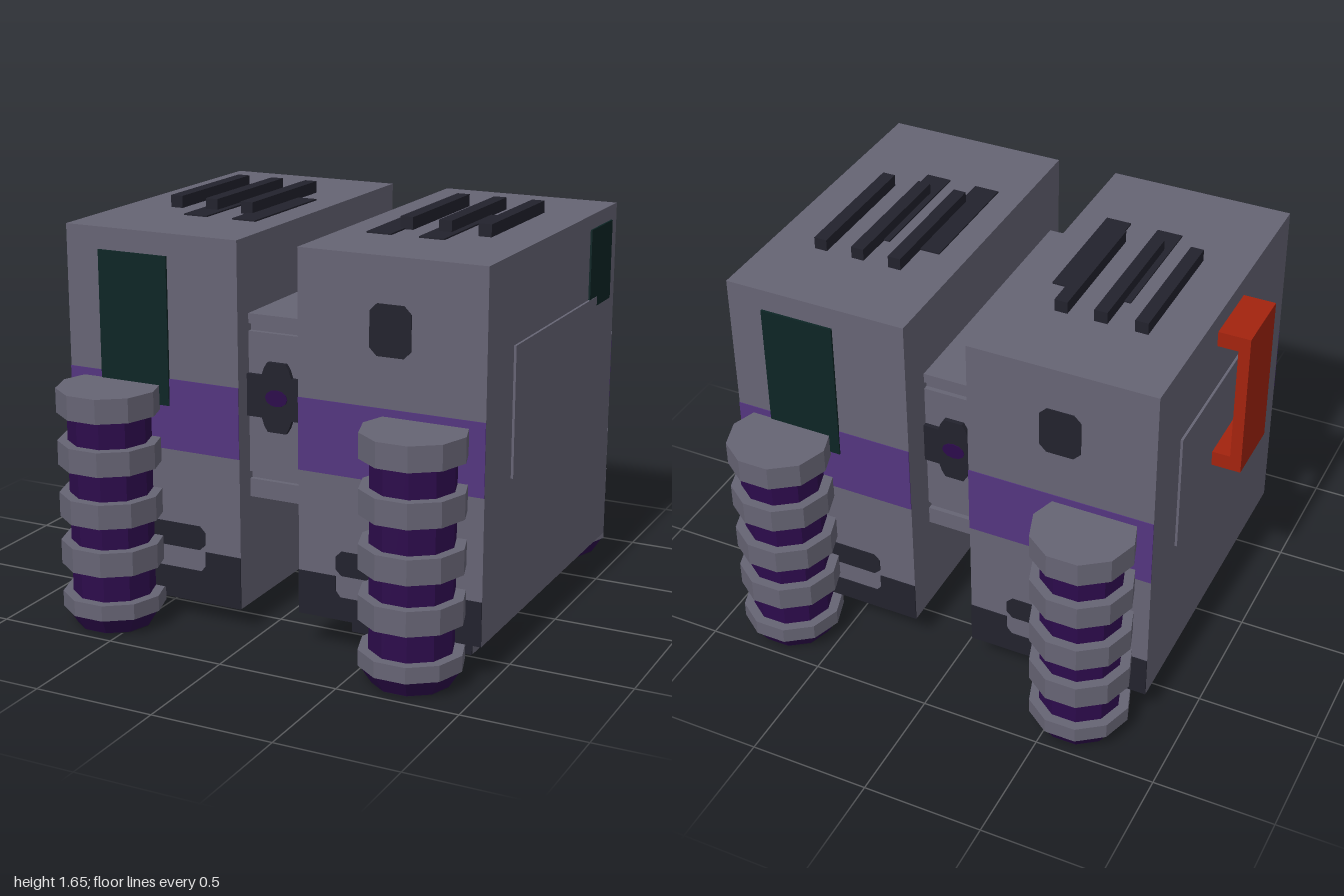
import * as THREE from 'three';

const mat = (name, color, extra = {}) => {
  const m = new THREE.MeshStandardMaterial({ color, ...extra });
  m.name = name;
  return m;
};

export function createModel() {
  const grey = mat('grey metal', 0x666474, { flatShading: true });
  const dark = mat('dark trim', 0x22222d);
  const purple = mat('purple stripe', 0x53357f);
  const deep = mat('deep purple', 0x2c0b4b, { flatShading: true });
  const glass = mat('dark teal glass', 0x0d2525);
  const red = mat('red handle', 0xa3230e);

  const root = new THREE.Group();
  root.name = 'twinBlockMachine';
  const CX = 0.06; // the blocks mirror about this x

  const add = (parent, name, geo, m, x = 0, y = 0, z = 0) => {
    const mesh = new THREE.Mesh(geo, m);
    mesh.name = name;
    mesh.position.set(x, y, z);
    parent.add(mesh);
    return mesh;
  };
  // Box given by its limits
  const box = (parent, name, m, x0, x1, y0, y1, z0, z1) =>
    add(parent, name, new THREE.BoxGeometry(x1 - x0, y1 - y0, z1 - z0), m,
      (x0 + x1) / 2, (y0 + y1) / 2, (z0 + z1) / 2);
  // Thin plate cut from an outline, facing +z
  const plate = (parent, name, m, pts, z, depth = 0.004) =>
    add(parent, name, new THREE.ExtrudeGeometry(
      new THREE.Shape(pts.map(([x, y]) => new THREE.Vector2(x, y))),
      { depth, bevelEnabled: false }), m, 0, 0, z);
  // Rectangle outline with cut corners
  const cut = (x0, x1, y0, y1, c) => [
    [x0 + c, y0], [x1 - c, y0], [x1, y0 + c], [x1, y1 - c],
    [x1 - c, y1], [x0 + c, y1], [x0, y1 - c], [x0, y0 + c]];

  // Ten-sided ribbed column
  const ringY = [[0.89, 0.99], [0.675, 0.775], [0.46, 0.56], [0.26, 0.36]];
  const drum = (parent, name, m, rTop, rBottom, y0, y1) => {
    const mesh = add(parent, name,
      new THREE.CylinderGeometry(rTop, rBottom, y1 - y0, 10), m, 0, (y0 + y1) / 2, 0);
    mesh.rotation.y = Math.PI / 10;
  };
  const column = (x, z) => {
    const g = new THREE.Group();
    g.name = 'ribbedColumn';
    g.position.set(x, 0, z);
    drum(g, 'columnCore', deep, 0.166, 0.166, 0.1, 0.95);
    for (const [y0, y1] of ringY) drum(g, 'columnRing', grey, 0.207, 0.207, y0, y1);
    drum(g, 'bottomRing', grey, 0.207, 0.207, 0.075, 0.14);
    drum(g, 'columnBase', deep, 0.2, 0.155, 0.004, 0.075);
    drum(g, 'columnSole', dark, 0.155, 0.154, 0, 0.004);
    root.add(g);
  };

  // The two main blocks, s = -1 and +1
  for (const s of [-1, 1]) {
    const cx = CX + s * 0.515;
    box(root, 'mainBlock', grey, cx - 0.385, cx + 0.385, 0.14, 1.6, -0.7, 0.7);
    box(root, 'foot', grey, cx - 0.26, cx + 0.26, 0, 0.14, -0.48, 0.48);
    box(root, 'footFront', dark, cx - 0.26, cx + 0.26, 0, 0.139, 0.48, 0.486);
    for (const f of [-1, 1]) column(CX + s * 0.66, f * 0.802);

    // Raised panel on the outer side
    const xo = cx + s * 0.385;
    box(root, 'sidePanel', grey, xo - 0.01, xo + 0.01, 0.73, 1.25, -0.46, 0.44);

    // Roof vents: tall bars and flat strips
    for (const d of [0.355, 0.518, 0.683])
      box(root, 'ventBar', dark, CX + s * d - 0.027, CX + s * d + 0.027, 1.59, 1.65, -0.35, 0.215);
    for (const d of [0.297, 0.518])
      box(root, 'ventStrip', dark, CX + s * d - 0.053, CX + s * d + 0.053, 1.59, 1.606, -0.185, 0.345);
  }

  // Painted details, the same on both faces after a half turn
  for (const face of [0, 1]) {
    const g = new THREE.Group();
    g.name = face ? 'backDetails' : 'frontDetails';
    g.position.x = CX;
    g.rotation.y = face * Math.PI;
    for (const s of [-1, 1]) {
      const cx = s * 0.515;
      box(g, 'stripe', purple, cx - 0.385, cx + 0.385, 0.73, 1.02, 0.699, 0.703);
      // Lower trim with a notch, and the grip above it
      plate(g, 'lowerTrim', dark, [
        [cx - 0.385, 0.141], [cx + 0.385, 0.141], [cx + 0.385, 0.32], [cx + 0.225, 0.32],
        [cx + 0.225, 0.26], [cx + 0.205, 0.235], [cx - 0.205, 0.235], [cx - 0.225, 0.26],
        [cx - 0.225, 0.32], [cx - 0.385, 0.32]], 0.7);
      plate(g, 'grip', dark, cut(cx - 0.225, cx + 0.225, 0.325, 0.425, 0.025), 0.7);
    }
    box(g, 'tallWindow', glass, -0.75, -0.44, 0.91, 1.51, 0.7, 0.709);
    plate(g, 'hatch', dark, cut(0.43, 0.6, 1.22, 1.42, 0.03), 0.7);
    root.add(g);
  }
  box(root, 'sideWindow', glass, 0.96, 0.968, 1.21, 1.54, -0.63, -0.38);

  // Connector between the blocks, with shallow grooves
  box(root, 'connectorCore', grey, -0.08, 0.2, 0.56, 1.29, -0.535, 0.595);
  for (const [y0, y1] of [[0.555, 0.63], [0.66, 1.23], [1.26, 1.3]])
    box(root, 'connectorBand', grey, -0.08, 0.2, y0, y1, -0.555, 0.615);

  // Cross-shaped latch on each end of the connector
  const quarter = [[0.13, 0.085], [0.065, 0.085], [0.055, 0.115], [0.04, 0.14]];
  const mirror = (pts, sx, sy) => pts.map(([x, y]) => [x * sx, y * sy]);
  const cross = [
    ...quarter, ...mirror(quarter, -1, 1).reverse(),
    ...mirror(quarter, -1, -1), ...mirror(quarter, 1, -1).reverse()];
  for (const f of [1, -1]) {
    const g = new THREE.Group();
    g.name = 'latch';
    g.position.set(CX, 0.978, 0.03 + f * 0.585);
    g.rotation.y = f > 0 ? 0 : Math.PI;
    plate(g, 'latchPlate', dark, cross, 0, 0.018);
    const knob = add(g, 'latchKnob', new THREE.CylinderGeometry(0.048, 0.048, 0.006, 12), deep, 0, 0, 0.019);
    knob.rotation.x = Math.PI / 2;
    knob.scale.z = 0.7;
    root.add(g);
  }

  // Side handle
  const handle = new THREE.Group();
  handle.name = 'handle';
  box(handle, 'handleBar', red, -0.972, -0.925, 0.885, 1.52, -0.11, 0.17);
  for (const y of [0.885, 1.455])
    box(handle, 'handleArm', red, -0.926, -0.84, y, y + 0.065, -0.11, 0.17);
  root.add(handle);

  return root;
}
